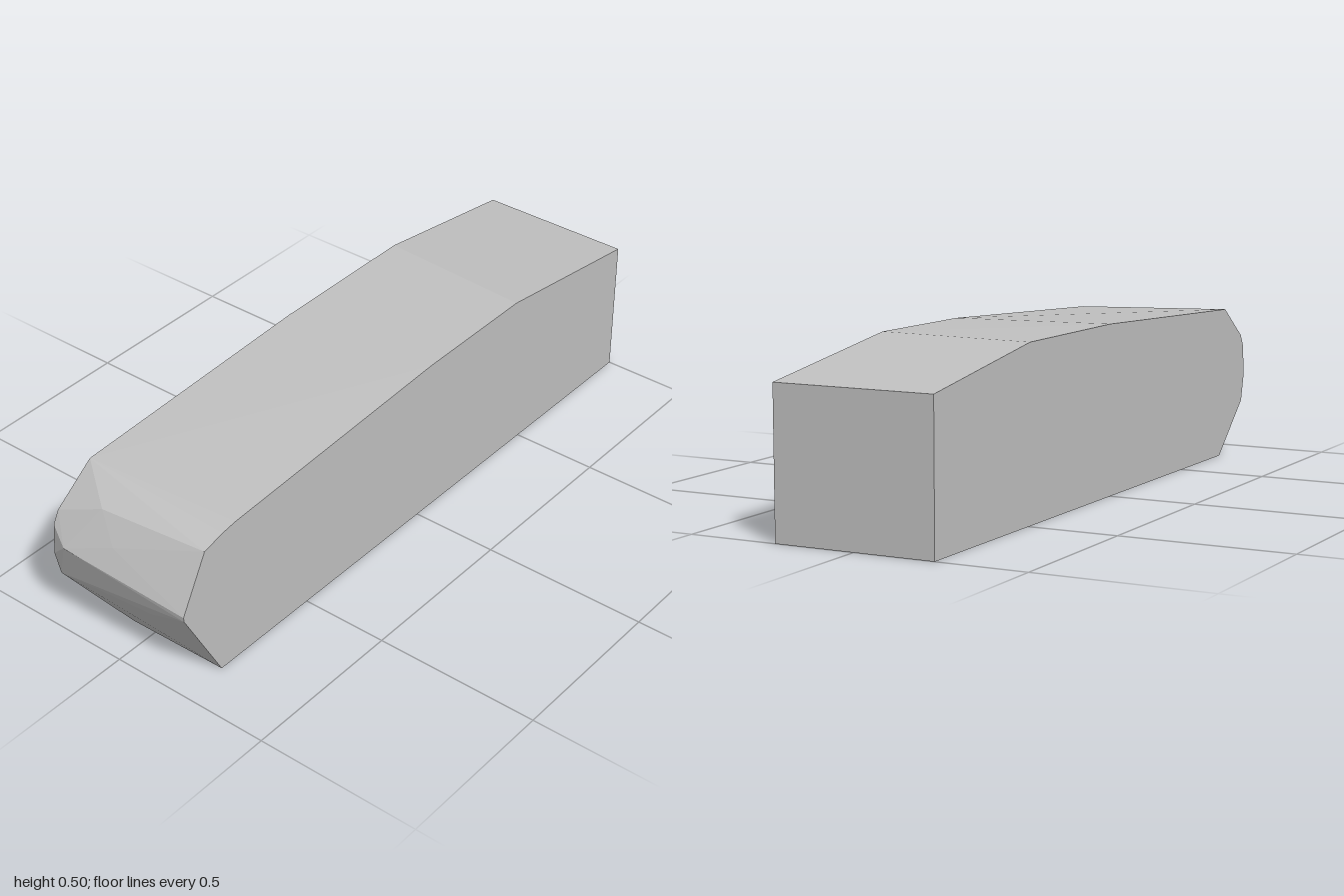
import * as THREE from 'three';
import { ConvexGeometry } from 'three/addons/geometries/ConvexGeometry.js';

export function createModel() {
  const group = new THREE.Group();
  group.name = 'roundedBlock';
  const grey = new THREE.MeshStandardMaterial({ color: 0xc0c0c0 });
  grey.name = 'plainGrey';

  const half = 0.237;
  const side = (x, profile) => profile.map(([z, y]) => new THREE.Vector3(x, y, z));

  // side outlines as [z, y], from the back foot round over the nose
  const leftSide = side(half, [
    [-1, 0], [-1, 0.42], [-0.46, 0.495], [-0.05, 0.493], [0.78, 0.451],
    [0.83, 0.444], [0.9, 0.427], [0.99, 0.265], [0.988, 0.25], [0.855, 0],
  ]);
  const rightSide = side(-half, [
    [-1, 0], [-1, 0.42], [-0.49, 0.495], [0, 0.495], [0.825, 0.46],
    [0.955, 0.365], [0.975, 0.328], [0.982, 0.235], [0.964, 0.155], [0.79, 0],
  ]);

  // irregular facets of the chipped nose, as x, y, z
  const nose = [
    [-0.18, 0.29, 1], [-0.1, 0.415, 0.925], [-0.03, 0.345, 0.965],
    [0.1, 0.19, 0.968], [-0.08, 0, 0.86], [-0.18, 0, 0.833],
  ].map((p) => new THREE.Vector3(...p));

  const block = new THREE.Mesh(new ConvexGeometry([...leftSide, ...rightSide, ...nose]), grey);
  block.name = 'block';
  group.add(block);
  return group;
}
